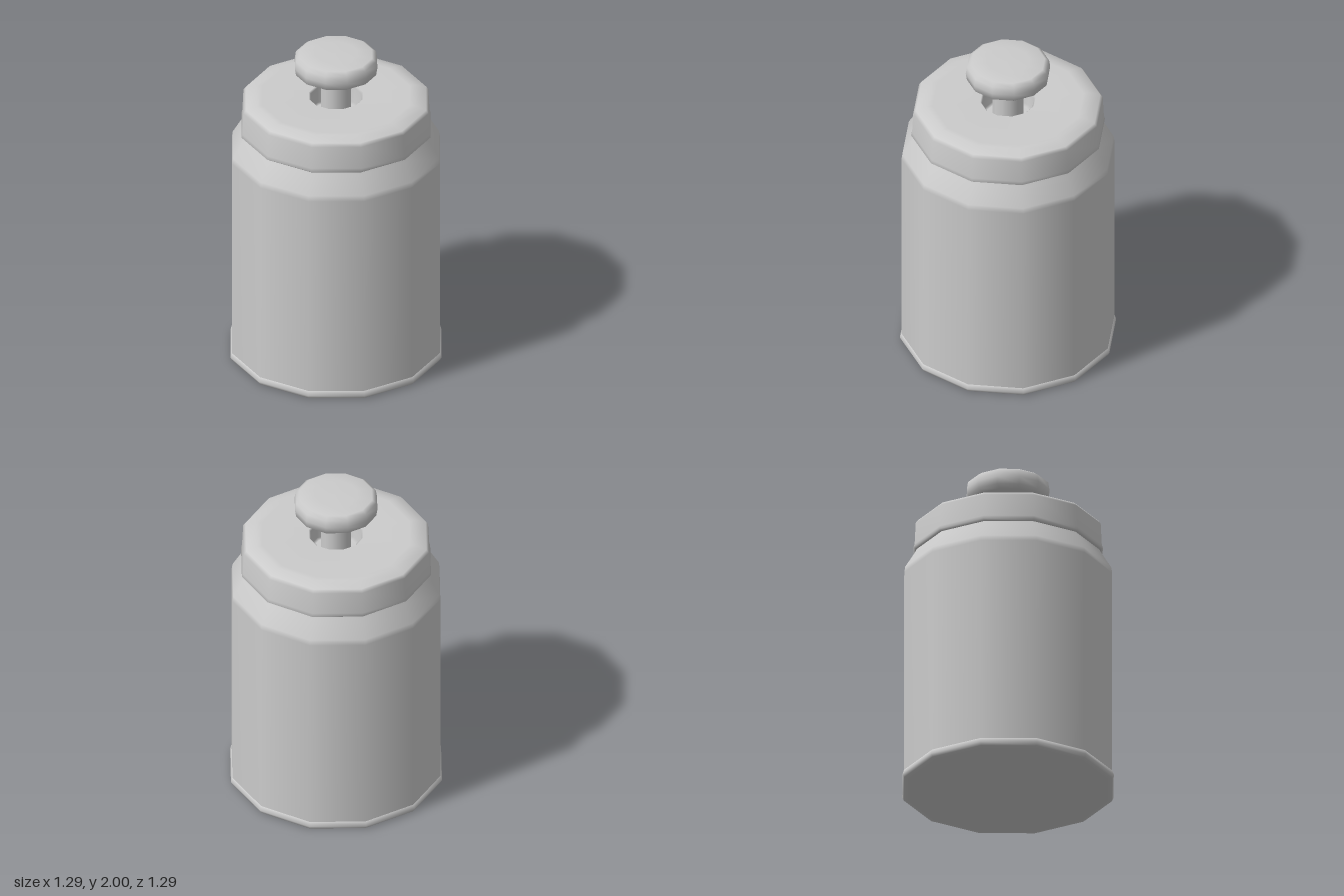
import * as THREE from 'three';

const SIDES = 12;

// Revolve a profile of [radius, height] points, listed from bottom to top.
function turned(name, profile, material) {
  const points = profile.map(([r, y]) => new THREE.Vector2(r, y));
  const mesh = new THREE.Mesh(new THREE.LatheGeometry(points, SIDES), material);
  mesh.name = name;
  return mesh;
}

export function createModel() {
  const group = new THREE.Group();
  group.name = 'lidded jar';
  const grey = new THREE.MeshStandardMaterial({ color: 0xcccccc });

  // Straight-sided vessel with a tapering shoulder and neck
  group.add(turned('jarBody', [
    [0.635, 0.05], [0.635, 0.08], [0.635, 1.34], [0.63, 1.375],
    [0.565, 1.485], [0.55, 1.52],
  ], grey));

  // Foot ring with closed underside
  group.add(turned('baseRing', [
    [0, 0], [0.6, 0], [0.635, 0.005], [0.645, 0.025], [0.637, 0.052], [0.62, 0.055],
  ], grey));

  // Lid: thin lower lip, bevelled rim, and a well around the stem
  group.add(turned('lid', [
    [0.5, 1.5], [0.565, 1.5], [0.578, 1.51], [0.572, 1.53], [0.565, 1.67],
    [0.55, 1.69], [0.485, 1.71], [0.45, 1.71], [0.165, 1.71], [0.155, 1.7],
    [0.155, 1.6], [0.14, 1.59], [0, 1.59],
  ], grey));

  // Plunger stem rising out of the well
  const stem = new THREE.Mesh(new THREE.CylinderGeometry(0.092, 0.092, 0.3, SIDES), grey);
  stem.name = 'stem';
  stem.position.y = 1.73;
  group.add(stem);

  // Rounded knob
  group.add(turned('knob', [
    [0, 1.865], [0.15, 1.865], [0.215, 1.866], [0.245, 1.885], [0.252, 1.93],
    [0.245, 1.975], [0.22, 1.993], [0.13, 1.999], [0, 2],
  ], grey));

  return group;
}
